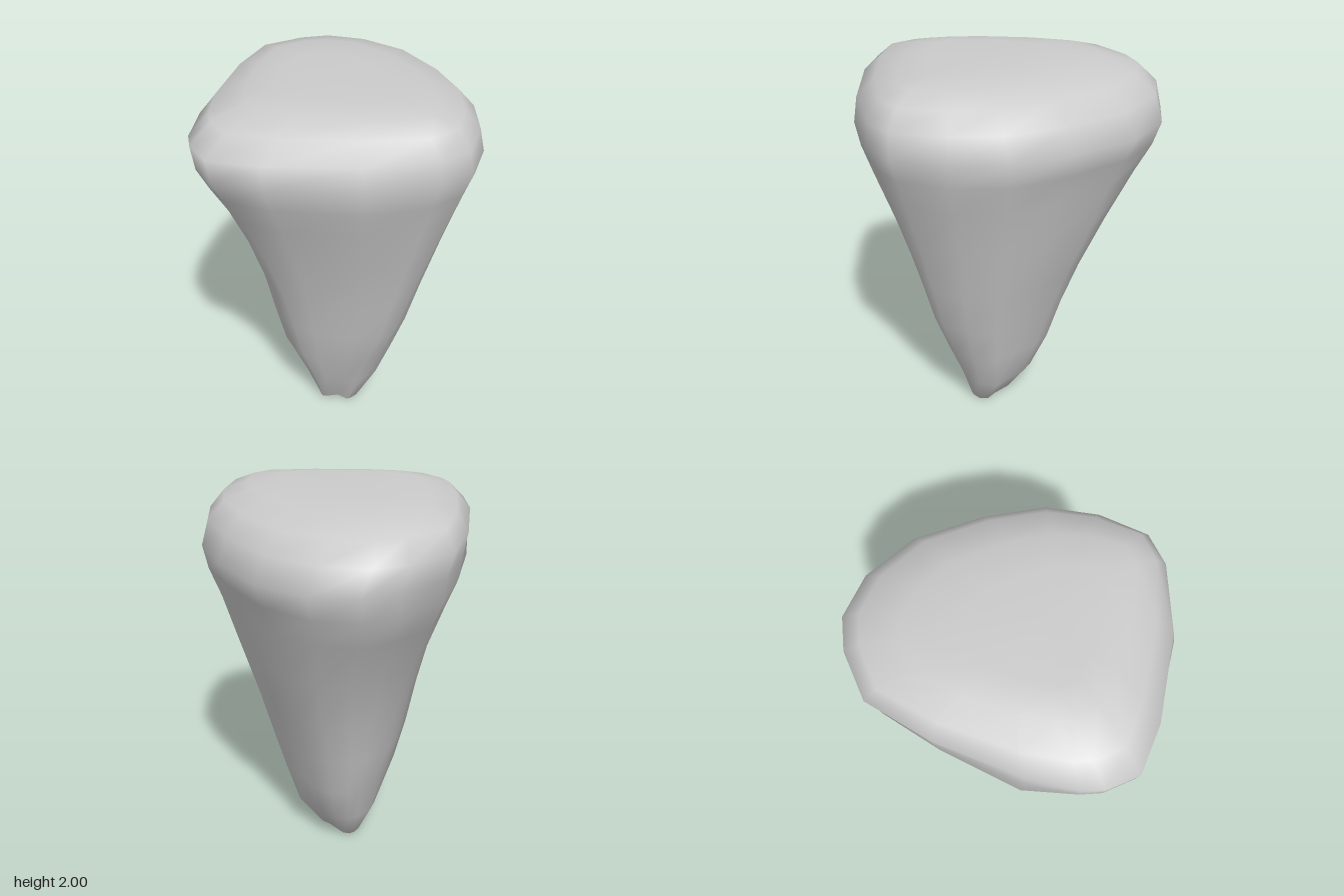
import * as THREE from 'three';

// Plan of the widest section as [x, z], from the back round by the left side
const PLAN = [
  [-0.17, -0.78], [0.17, -0.69], [0.44, -0.555], [0.63, -0.37], [0.765, -0.14], [0.74, 0.04],
  [0.56, 0.34], [0.24, 0.645], [0.03, 0.775], [-0.13, 0.745], [-0.22, 0.69], [-0.39, 0.51],
  [-0.63, 0.15], [-0.77, -0.17], [-0.72, -0.44], [-0.64, -0.6], [-0.45, -0.73],
];

// Each level: height, reach to -x, +x, +z, -z,
// then the corner bulges at (+x +z), (-x +z), (-x -z), (+x -z)
const LEVELS = [
  [0.01, 0.11, 0.12, 0.09, 0.1, -0.05, 0, 0.02, 0.04],
  [0.2, 0.22, 0.19, 0.15, 0.24, 0, 0.03, 0, 0.07],
  [0.42, 0.27, 0.29, 0.24, 0.315, 0.02, 0.07, 0.02, 0.06],
  [0.65, 0.36, 0.39, 0.3, 0.385, 0.02, 0.07, 0, 0.05],
  [0.9, 0.42, 0.47, 0.37, 0.47, 0.02, 0.07, 0, 0.04],
  [1.2, 0.53, 0.57, 0.485, 0.585, 0.03, 0.055, 0, 0.03],
  [1.45, 0.64, 0.66, 0.6, 0.66, 0.04, 0.06, 0.03, 0.03],
  [1.6, 0.71, 0.71, 0.69, 0.72, 0.04, 0.06, 0.04, 0.035],
  [1.72, 0.735, 0.76, 0.76, 0.775, 0.01, 0.015, 0.02, 0.01],
  [1.84, 0.765, 0.745, 0.78, 0.72, -0.01, 0, 0.01, 0.01],
  [1.93, 0.7, 0.68, 0.66, 0.63, -0.03, 0, 0, 0],
  [1.975, 0.54, 0.57, 0.47, 0.45, -0.03, 0, 0, 0],
  [1.995, 0.32, 0.4, 0.33, 0.24, -0.02, 0, 0, 0],
];

function taperedBody() {
  const n = PLAN.length;
  const positions = [];
  const index = [];

  // Stretch the plan to the reach of each level and round out its corners
  for (const [y, left, right, front, back, ...bulges] of LEVELS) {
    for (const [px, pz] of PLAN) {
      const x = px * (px > 0 ? right / 0.765 : left / 0.77);
      const z = pz * (pz > 0 ? front / 0.775 : back / 0.78);
      const corner = pz > 0 ? (px > 0 ? 0 : 1) : (px > 0 ? 3 : 2);
      const angle = Math.atan2(pz, px);
      const push = bulges[corner] * Math.sin(2 * angle) ** 2;
      positions.push(x + push * Math.cos(angle), y, z + push * Math.sin(angle));
    }
  }

  // Sides
  const last = (LEVELS.length - 1) * n;
  for (let row = 0; row < last; row += n) {
    for (let j = 0; j < n; j++) {
      const a = row + j;
      const b = row + ((j + 1) % n);
      index.push(a, a + n, b, b, a + n, b + n);
    }
  }

  // Tip and slightly dished crown
  const tip = positions.length / 3;
  positions.push(0, 0, 0, 0.02, 1.985, 0);
  for (let j = 0; j < n; j++) {
    const k = (j + 1) % n;
    index.push(tip, j, k, tip + 1, last + k, last + j);
  }

  const geometry = new THREE.BufferGeometry();
  geometry.setAttribute('position', new THREE.Float32BufferAttribute(positions, 3));
  geometry.setIndex(index);
  geometry.computeVertexNormals();
  return geometry;
}

export function createModel() {
  const group = new THREE.Group();
  group.name = 'taperedStone';
  const body = new THREE.Mesh(taperedBody(), new THREE.MeshStandardMaterial({ color: 0xcccccc }));
  body.name = 'stoneBody';
  group.add(body);
  return group;
}
